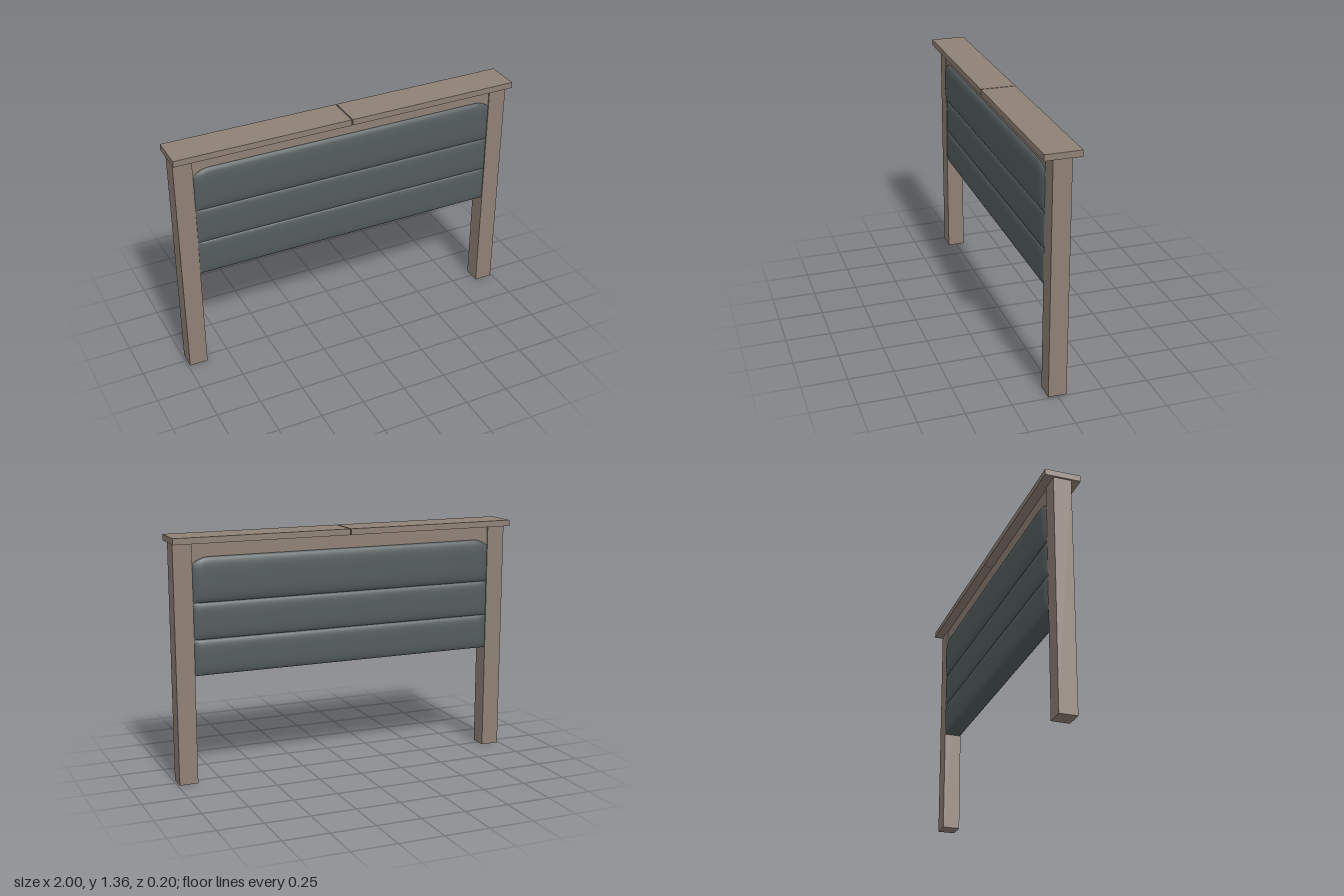
import * as THREE from 'three';

const wood = new THREE.MeshStandardMaterial({ color: 0x8f8175 });
wood.name = 'brownWood';
const fabric = new THREE.MeshStandardMaterial({ color: 0x545c5d });
fabric.name = 'slateFabric';

function block(name, w, h, d, x, y, z = 0) {
  const mesh = new THREE.Mesh(new THREE.BoxGeometry(w, h, d), wood);
  mesh.name = name;
  mesh.position.set(x, y, z);
  return mesh;
}

// Padded roll from y0 to y1, bulging to zFront and zBack; cut drops its top corners
function cushion(name, y0, y1, zFront, zBack, cut = 0) {
  const half = 0.886, edge = 0.044;
  const geo = new THREE.BoxGeometry(2, 2, 2, 48, 16, 1);
  const p = geo.attributes.position;
  for (let i = 0; i < p.count; i++) {
    const u = p.getX(i), side = Math.sign(p.getZ(i));
    // pack rows and columns toward the edges, where the padding curves
    const x = Math.sin(u * Math.PI / 2) * half;
    const v = Math.sin(p.getY(i) * Math.PI / 2);
    const fromEnd = half - Math.abs(x);
    const drop = cut * Math.pow(Math.max(0, 1 - fromEnd / 0.09), 2);
    const y = y0 + (y1 - drop - y0) * (v + 1) / 2;
    const puff = Math.sqrt(Math.max(0, 1 - v ** 4)) * Math.sqrt(Math.min(1, fromEnd / 0.04));
    const reach = side > 0 ? zFront : zBack;
    p.setXYZ(i, x, y, side * (edge + (reach - edge) * puff));
  }
  geo.computeVertexNormals();
  const mesh = new THREE.Mesh(geo, fabric);
  mesh.name = name;
  return mesh;
}

export function createModel() {
  const model = new THREE.Group();
  model.name = 'headboard';

  // Posts and the two cap boards that meet at a narrow centre seam
  for (const s of [1, -1]) {
    const side = s > 0 ? 'left' : 'right';
    model.add(block(side + 'Post', 0.104, 1.325, 0.1, s * 0.938, 0.6625));
    model.add(block(side + 'CapBoard', 0.997, 0.034, 0.198, s * 0.5015, 1.34));
  }

  // Rail under the cap, reaching down behind the rounded cushion corners
  model.add(block('topRail', 1.78, 0.13, 0.086, 0, 1.26));

  // Three upholstered rolls, padded on both faces
  model.add(cushion('upperCushion', 1.0, 1.245, 0.066, 0.066, 0.035));
  model.add(cushion('middleCushion', 0.8, 1.0, 0.057, 0.061));
  model.add(cushion('lowerCushion', 0.603, 0.8, 0.057, 0.063));

  return model;
}
